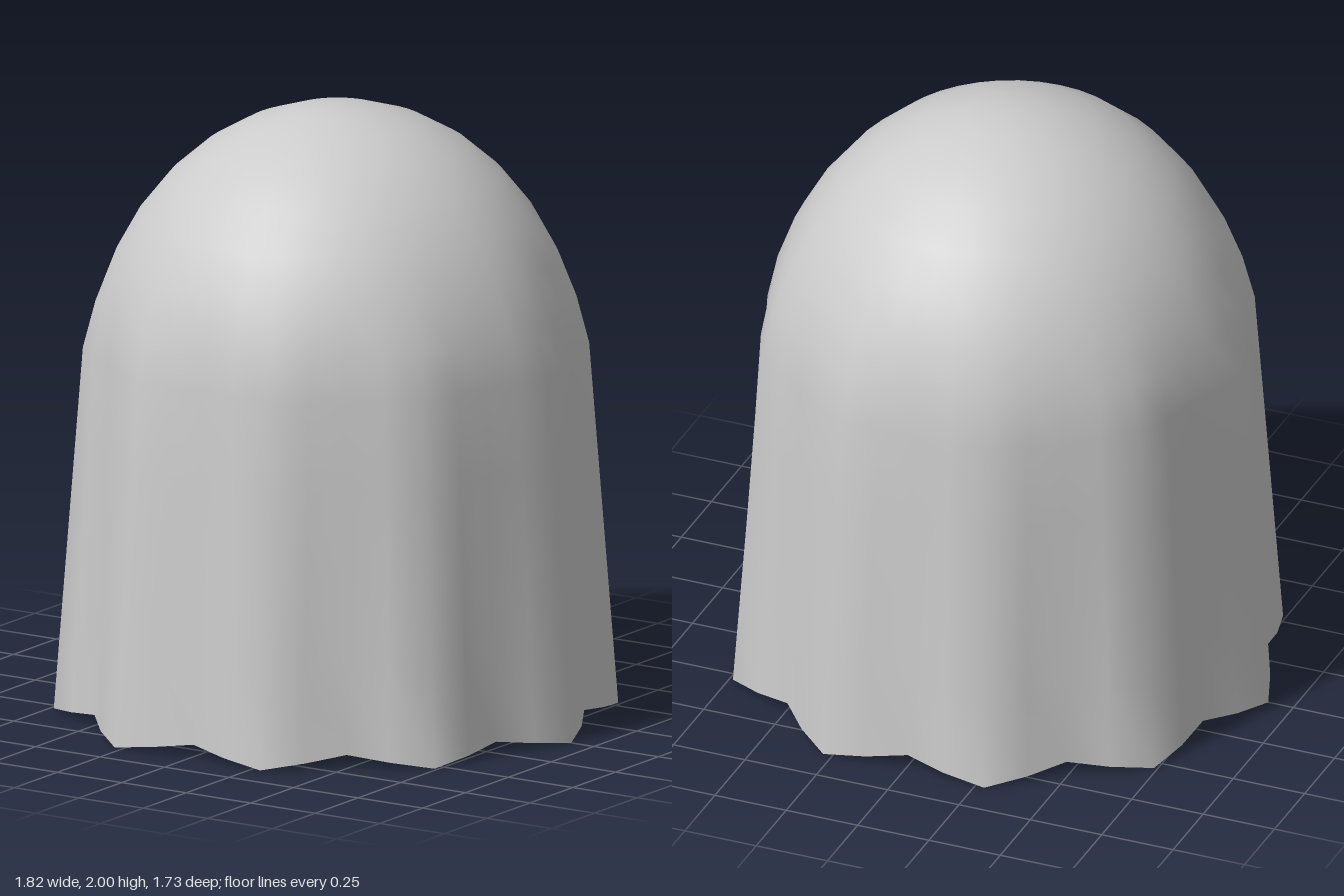
import * as THREE from 'three';

const SEGMENTS = 40, LOBES = 10, DOME_RINGS = 8, SKIRT_RINGS = 4;
const DOME_RADIUS = 0.8, DOME_BASE = 1.2;

// Point on the dome: ring 0 is the apex, folds start to show near its base
function domePoint(ring, theta) {
  const t = ring / DOME_RINGS, phi = t * Math.PI / 2;
  const ease = t ** 4;
  const squeeze = 0.957 - 0.018 * Math.cos(2 * theta);
  const r = DOME_RADIUS * Math.sin(phi) * THREE.MathUtils.lerp(squeeze, 1, ease)
    + 0.018 * t ** 6 * Math.cos(LOBES * theta);
  return [r * Math.cos(theta), DOME_BASE + DOME_RADIUS * Math.cos(phi), r * Math.sin(theta)];
}

// Point on the flared skirt: folds deepen downwards, hem rises between folds
function skirtPoint(ring, theta) {
  const t = ring / SKIRT_RINGS, wave = Math.cos(LOBES * theta);
  const r = THREE.MathUtils.lerp(0.8, 0.872, t) + THREE.MathUtils.lerp(0.018, 0.04, t) * wave;
  const hem = 0.02 - 0.02 * wave;
  return [r * Math.cos(theta), THREE.MathUtils.lerp(DOME_BASE, hem, t), r * Math.sin(theta)];
}

export function createModel() {
  const group = new THREE.Group();
  group.name = 'drapedSheet';

  // Stack rings from the apex down to the scalloped hem
  const positions = [0, DOME_BASE + DOME_RADIUS, 0];
  const index = [];
  const rings = DOME_RINGS + SKIRT_RINGS;
  for (let i = 1; i <= rings; i++) {
    for (let j = 0; j < SEGMENTS; j++) {
      const theta = (j / SEGMENTS) * Math.PI * 2;
      positions.push(...(i <= DOME_RINGS ? domePoint(i, theta) : skirtPoint(i - DOME_RINGS, theta)));
    }
  }

  // Join the rings, with a fan at the apex
  const id = (i, j) => 1 + (i - 1) * SEGMENTS + (j % SEGMENTS);
  for (let j = 0; j < SEGMENTS; j++) {
    index.push(0, id(1, j + 1), id(1, j));
    for (let i = 1; i < rings; i++) {
      const a = id(i, j), b = id(i, j + 1), c = id(i + 1, j), d = id(i + 1, j + 1);
      index.push(a, b, c, b, d, c);
    }
  }

  const geometry = new THREE.BufferGeometry();
  geometry.setAttribute('position', new THREE.Float32BufferAttribute(positions, 3));
  geometry.setIndex(index);
  geometry.computeVertexNormals();

  const sheet = new THREE.Mesh(
    geometry,
    new THREE.MeshStandardMaterial({ color: 0xcccccc, side: THREE.DoubleSide })
  );
  sheet.name = 'sheet';
  group.add(sheet);
  return group;
}
